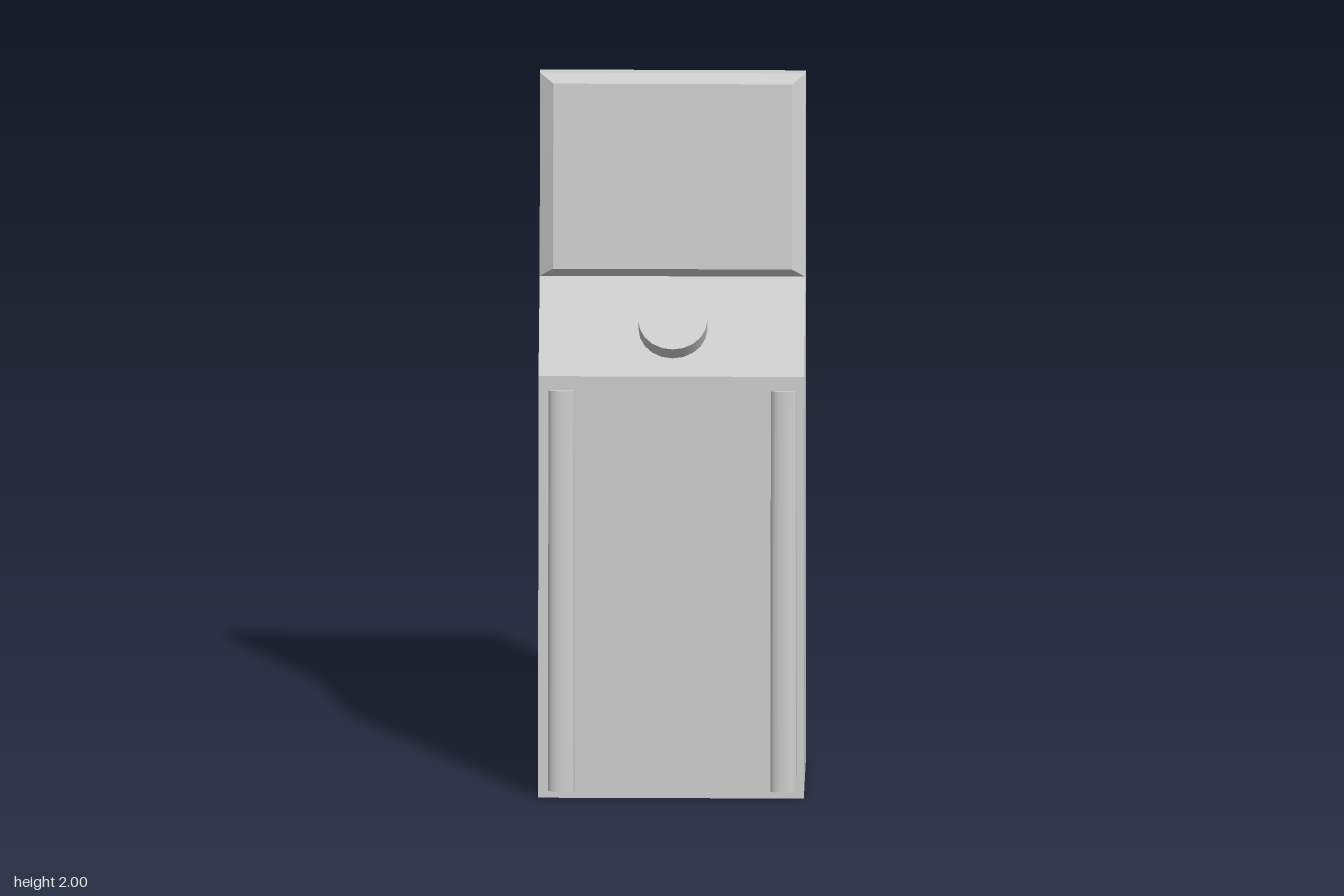
import * as THREE from 'three';

const grey = new THREE.MeshStandardMaterial({ color: 0xcccccc, side: THREE.DoubleSide });

function addPart(parent, name, geometry) {
  const mesh = new THREE.Mesh(geometry, grey);
  mesh.name = name;
  parent.add(mesh);
  return mesh;
}

// Side profile as [z, y], extruded across x, with the floor left open
function cabinetGeometry() {
  const profile = [[-0.235, 0], [0.215, 0], [0.12, 1.2], [-0.12, 1.43], [-0.2, 2], [-0.235, 2]];
  const shape = new THREE.Shape(profile.map(([z, y]) => new THREE.Vector2(z, y)));
  const solid = new THREE.ExtrudeGeometry(shape, { depth: 0.748, bevelEnabled: false });
  solid.rotateY(-Math.PI / 2).translate(0.374, 0, 0);
  const source = solid.attributes.position;
  const kept = [];
  for (let i = 0; i < source.count; i += 3) {
    const isFloor = [0, 1, 2].every((k) => Math.abs(source.getY(i + k)) < 1e-5);
    if (isFloor) continue;
    for (let k = 0; k < 3; k++) kept.push(source.getX(i + k), source.getY(i + k), source.getZ(i + k));
  }
  const geometry = new THREE.BufferGeometry();
  geometry.setAttribute('position', new THREE.Float32BufferAttribute(kept, 3));
  geometry.computeVertexNormals();
  return geometry;
}

// Raised screen: a box whose front is inset and whose faces lean back
function screenGeometry() {
  const geometry = new THREE.BoxGeometry(2, 2, 2);
  const p = geometry.attributes.position;
  for (let i = 0; i < p.count; i++) {
    const front = p.getZ(i) > 0;
    const top = p.getY(i) > 0;
    const x = Math.sign(p.getX(i)) * (front ? 0.336 : 0.374);
    const y = front ? (top ? 1.975 : 1.457) : (top ? 2 : 1.43);
    const z = front ? (top ? -0.172 : -0.095) : (top ? -0.2 : -0.12);
    p.setXYZ(i, x, y, z);
  }
  geometry.computeVertexNormals();
  return geometry;
}

export function createModel() {
  const model = new THREE.Group();
  model.name = 'kiosk';

  addPart(model, 'cabinet', cabinetGeometry());
  addPart(model, 'screen', screenGeometry());

  // Round button standing square on the sloped control panel
  const button = addPart(model, 'button', new THREE.CylinderGeometry(0.097, 0.097, 0.05, 20));
  button.position.set(0.003, 1.325, 0.022);
  button.rotation.x = Math.atan2(0.24, 0.23) - 0.042;

  // Flattened half-round rails lying along the leaning front
  for (const [name, x] of [['rightRail', -0.309], ['leftRail', 0.317]]) {
    const geometry = new THREE.CylinderGeometry(0.037, 0.037, 1.144, 8, 1, false, -Math.PI / 2, Math.PI);
    geometry.scale(1, 1, 0.55);
    const rail = addPart(model, name, geometry);
    rail.position.set(x, 0.59, 0.215 - 0.59 * (0.095 / 1.2));
    rail.rotation.x = -Math.atan2(0.095, 1.2);
  }
  return model;
}
